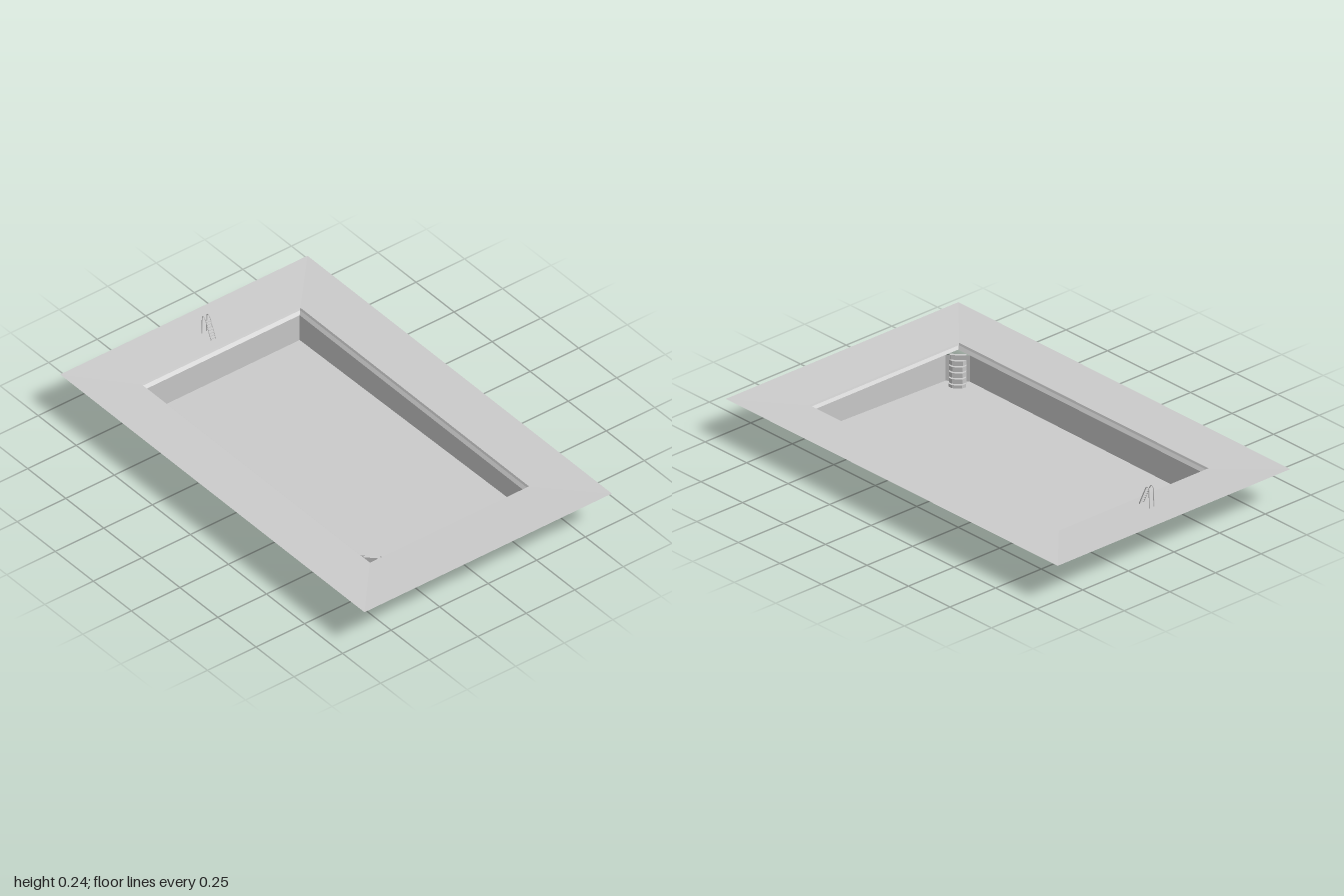
import * as THREE from 'three';

const grey = new THREE.MeshStandardMaterial({ color: 0xcccccc });
const sheet = new THREE.MeshStandardMaterial({ color: 0xcccccc, side: THREE.DoubleSide, flatShading: true });

function named(name, geometry, material = grey) {
  const mesh = new THREE.Mesh(geometry, material);
  mesh.name = name;
  return mesh;
}

function fromTriangles(points) {
  const g = new THREE.BufferGeometry().setFromPoints(points);
  g.computeVertexNormals();
  return g;
}

// Rectangular outline, counter-clockwise from above
function rect(x, zBack, zFront, y) {
  return [[-x, zBack], [-x, zFront], [x, zFront], [x, zBack]].map(([px, pz]) => new THREE.Vector3(px, y, pz));
}

// Strips of quads joining successive closed outlines, facing up and inward
function loft(rings) {
  const pts = [];
  for (let r = 0; r < rings.length - 1; r++) {
    const a = rings[r], b = rings[r + 1], n = a.length;
    for (let i = 0; i < n; i++) {
      const j = (i + 1) % n;
      pts.push(a[i], a[j], b[j], a[i], b[j], b[i]);
    }
  }
  return fromTriangles(pts);
}

// Slab step with a clipped front, extending along local +z
function step(length, width, height) {
  const w = width / 2, c = Math.min(0.014, length * 0.5);
  const s = new THREE.Shape([
    [-w, 0], [w, 0], [w, length - c], [w - c, length], [c - w, length], [-w, length - c],
  ].map(([x, y]) => new THREE.Vector2(x, y)));
  const g = new THREE.ExtrudeGeometry(s, { depth: height, bevelEnabled: false });
  g.rotateX(Math.PI / 2);
  return g;
}

export function createModel() {
  const model = new THREE.Group();
  model.name = 'swimmingPool';

  // Paved surround falling gently towards the basin
  model.add(named('deck', loft([rect(0.637, -1, 1, 0.157), rect(0.41, -0.757, 0.745, 0.147)]), sheet));

  // Rim stepping in to the walls
  model.add(named('rim', loft([
    rect(0.41, -0.757, 0.745, 0.147),
    rect(0.405, -0.753, 0.742, 0.139),
    rect(0.393, -0.74, 0.732, 0.127),
  ]), sheet));

  // Basin outline with one cut corner where the steps stand
  const outline = [[-0.393, -0.74], [-0.393, 0.662], [-0.323, 0.732], [0.393, 0.732], [0.393, -0.74]];
  const floorY = (x, z) => ((z + 0.74) / 1.472) * (0.0175 + 0.0095 * x / 0.393);
  const top = outline.map(([x, z]) => new THREE.Vector3(x, 0.127, z));
  const bottom = outline.map(([x, z]) => new THREE.Vector3(x, floorY(x, z), z));
  model.add(named('walls', loft([top, bottom]), sheet));

  // Sloping floor
  const fan = [];
  for (let i = 1; i < bottom.length - 1; i++) fan.push(bottom[0], bottom[i], bottom[i + 1]);
  model.add(named('floor', fromTriangles(fan), sheet));

  // Corner steps
  const steps = new THREE.Group();
  steps.name = 'cornerSteps';
  const count = 6, rise = 0.124 / count;
  for (let i = 0; i < count; i++) {
    const slab = named('step', step(0.078 * (count - i) / count, 0.07, rise));
    slab.position.y = 0.003 + rise * (i + 1);
    steps.add(slab);
  }
  steps.position.set(-0.367, 0, 0.705);
  steps.rotation.y = Math.PI * 0.75;
  model.add(steps);

  // Ladder: two bent rails with rungs on the sloping side
  const ladder = new THREE.Group();
  ladder.name = 'ladder';
  const low = new THREE.Vector3(0, 0.15, -0.804), high = new THREE.Vector3(0, 0.233, -0.842);
  const bend = new THREE.Vector3(0, 0.243, -0.853), back = new THREE.Vector3(0, 0.233, -0.863);
  const foot = new THREE.Vector3(0, 0.152, -0.866);
  const path = new THREE.CurvePath();
  path.add(new THREE.LineCurve3(low, high));
  path.add(new THREE.QuadraticBezierCurve3(high, new THREE.Vector3(0, 0.243, -0.846), bend));
  path.add(new THREE.QuadraticBezierCurve3(bend, new THREE.Vector3(0, 0.243, -0.863), back));
  path.add(new THREE.LineCurve3(back, foot));
  for (const side of [-1, 1]) {
    const rail = named('rail', new THREE.TubeGeometry(path, 40, 0.0022, 6));
    rail.position.x = side * 0.012;
    ladder.add(rail);
  }
  for (let i = 0; i < 7; i++) {
    const rung = named('rung', new THREE.BoxGeometry(0.024, 0.0025, 0.007));
    rung.position.lerpVectors(low, high, (i + 0.7) / 7.4);
    ladder.add(rung);
  }
  model.add(ladder);

  return model;
}
